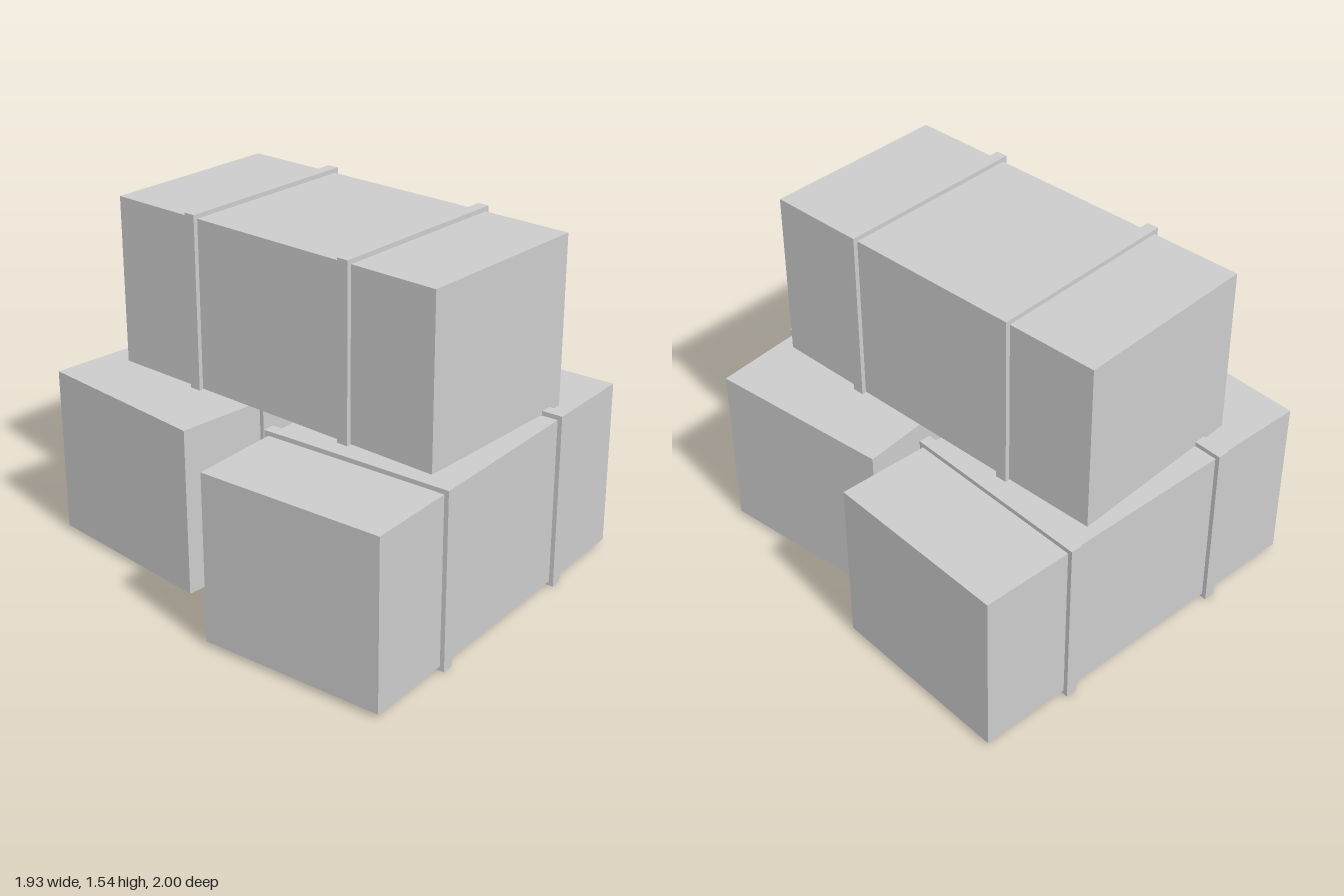
import * as THREE from 'three';

const LENGTH = 1.688, HEIGHT = 0.75, WIDTH = 0.842;
const STRAP_WIDTH = 0.052, STRAP_LIFT = 0.02, STRAP_OFFSET = 0.41;

export function createModel() {
  const grey = new THREE.MeshStandardMaterial({ color: 0xcccccc });
  grey.name = 'plain grey';

  const bodyGeometry = new THREE.BoxGeometry(LENGTH, HEIGHT, WIDTH);
  const strapGeometry = new THREE.BoxGeometry(
    STRAP_WIDTH, HEIGHT + 2 * STRAP_LIFT, WIDTH + 2 * STRAP_LIFT);

  // A crate with two straps wrapped around it
  function makeCrate(name, x, y, z, angle) {
    const crate = new THREE.Group();
    crate.name = name;
    const body = new THREE.Mesh(bodyGeometry, grey);
    body.name = 'crateBody';
    crate.add(body);
    for (const side of [-1, 1]) {
      const strap = new THREE.Mesh(strapGeometry, grey);
      strap.name = side < 0 ? 'strapA' : 'strapB';
      strap.position.x = side * STRAP_OFFSET;
      crate.add(strap);
    }
    crate.position.set(x, y, z);
    crate.rotation.y = angle;
    return crate;
  }

  // Two crates on the ground, a third laid across them
  const lowerY = HEIGHT / 2 + STRAP_LIFT;
  const model = new THREE.Group();
  model.name = 'crateStack';
  model.add(
    makeCrate('frontCrate', -0.087, lowerY, 0.495, 0.1),
    makeCrate('backCrate', 0.102, lowerY, -0.538, -0.05),
    makeCrate('topCrate', 0.005, 1.148, -0.033, Math.PI / 2 + 0.03));
  return model;
}
